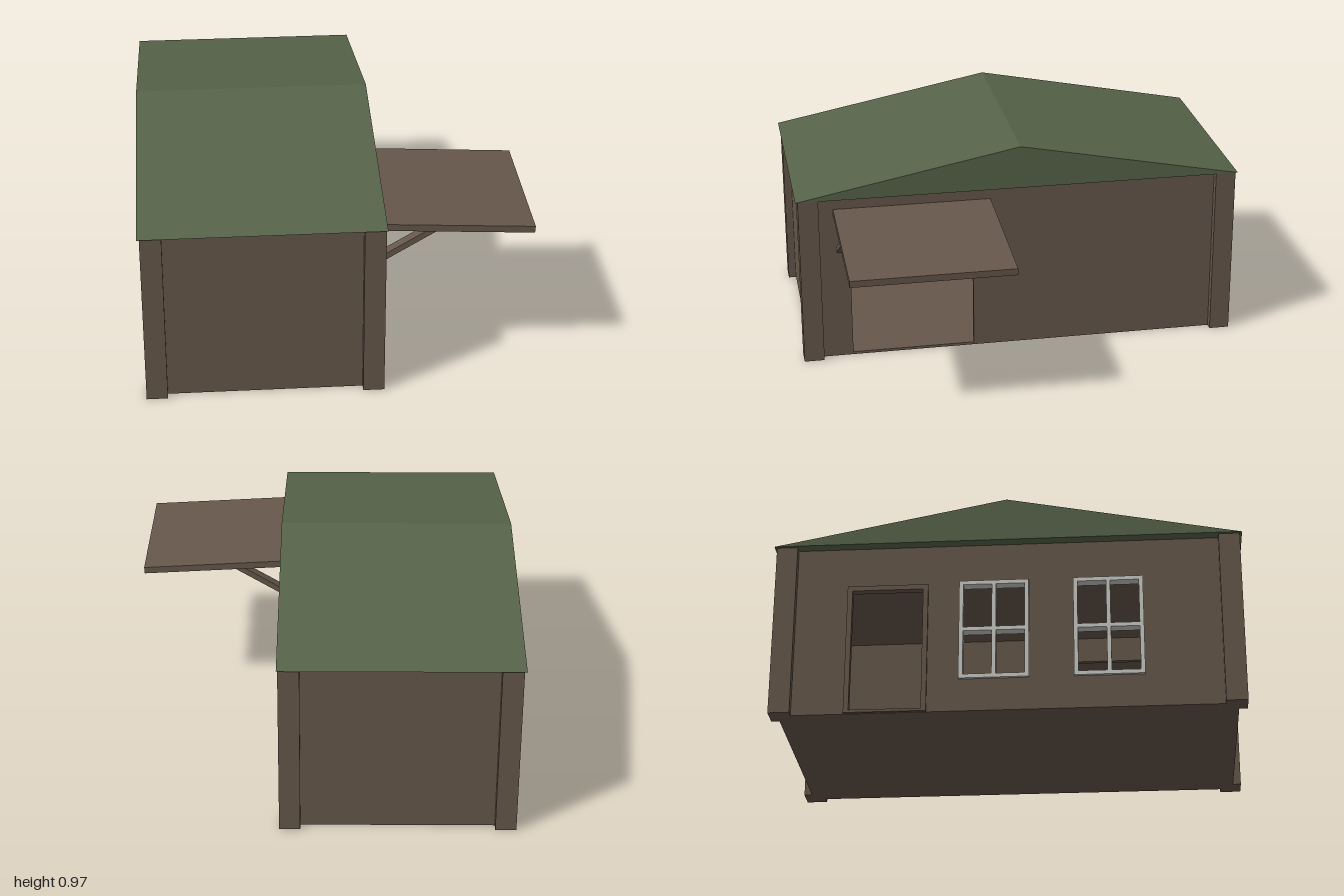
import * as THREE from 'three';

export function createModel() {
  const model = new THREE.Group();
  model.name = 'cabin';
  const material = (name, color) => {
    const m = new THREE.MeshStandardMaterial({ color });
    m.name = name;
    return m;
  };
  const wood = material('brown wood', 0x66574a);
  const green = material('green roofing', 0x566349);
  const white = material('pale window paint', 0xc8c8c4);

  const add = (name, geometry, mat, parent = model) => {
    const mesh = new THREE.Mesh(geometry, mat);
    mesh.name = name;
    parent.add(mesh);
    return mesh;
  };
  // Box given by its minimum and maximum corners
  const box = (name, mat, [x0, y0, z0], [x1, y1, z1], parent) => {
    const mesh = add(name, new THREE.BoxGeometry(x1 - x0, y1 - y0, z1 - z0), mat, parent);
    mesh.position.set((x0 + x1) / 2, (y0 + y1) / 2, (z0 + z1) / 2);
    return mesh;
  };
  const rect = (Kind, [z0, z1, y0, y1]) => {
    const r = new Kind();
    r.moveTo(z0, y0).lineTo(z1, y0).lineTo(z1, y1).lineTo(z0, y1).closePath();
    return r;
  };
  // Upright panel in the z-y plane, with holes; x is its +x face
  const panel = (name, mat, x, depth, outline, holes, parent) => {
    const shape = rect(THREE.Shape, outline);
    shape.holes = holes.map((h) => rect(THREE.Path, h));
    const g = new THREE.ExtrudeGeometry(shape, { depth, bevelEnabled: false });
    g.rotateY(-Math.PI / 2);
    const mesh = add(name, g, mat, parent);
    mesh.position.x = x;
    return mesh;
  };

  const L = -0.825, R = 0.185, Z = 0.99, H = 0.775;
  const inset = 0.035, t = 0.02, post = 0.09;
  const wl = L + inset, wr = R - inset, wz = Z - inset;

  // Floor and ceiling
  box('floor', wood, [wl, 0, -wz], [wr, 0.012, wz]);
  box('ceiling', wood, [wl + t, H - 0.006, -wz + t], [wr - t, H, wz - t]);

  // Corner posts, standing proud of the walls
  for (const x of [L, R - post])
    for (const z of [-Z, Z - post])
      box('cornerPost', wood, [x, 0, z], [x + post, H, z + post]);

  // End walls
  box('frontWall', wood, [wl, 0, wz - t], [wr, H, wz]);
  box('backWall', wood, [wl, 0, -wz], [wr, H, -wz + t]);

  // Side walls with their openings
  const windows = [[-0.203, 0.092, 0.145, 0.6], [0.28, 0.575, 0.145, 0.6]];
  const door = [-0.68, -0.335, 0.002, 0.59];
  const wallOutline = [-wz + t, wz - t, 0, H];
  panel('leftWall', wood, wr, t, wallOutline, [[0.21, 0.765, 0.012, 0.65]]);
  const shrink = ([a, b, c, d], s, bottom = s) => [a + s, b - s, c + bottom, d - s];
  const doorway = shrink(door, 0.022, 0.012);
  panel('rightWall', wood, wl + t, t, wallOutline, [doorway, ...windows.map((w) => shrink(w, 0.016))]);
  panel('doorFrame', wood, wl, 0.012, door, [doorway]);

  // Four-pane windows
  for (const w of windows) {
    const frame = new THREE.Group();
    frame.name = 'window';
    model.add(frame);
    const [z0, z1, y0, y1] = shrink(w, 0.018);
    const zm = (z0 + z1) / 2, ym = (y0 + y1) / 2, b = 0.009;
    panel('windowFrame', white, wl + t + 0.012, t + 0.024, w, [
      [z0, zm - b, y0, ym - b], [zm + b, z1, y0, ym - b],
      [z0, zm - b, ym + b, y1], [zm + b, z1, ym + b, y1],
    ], frame);
  }

  // Low gabled roof, ridge running from side to side
  const gable = new THREE.Shape();
  gable.moveTo(-1, 0.777).lineTo(1, 0.777).lineTo(0, 0.972).closePath();
  const roof = new THREE.ExtrudeGeometry(gable, { depth: 1.025, bevelEnabled: false });
  roof.rotateY(-Math.PI / 2);
  add('roof', roof, green).position.x = 0.19;

  // Awning over the wide opening, on two slanted struts
  const beam = (name, [x0, y0], [x1, y1], thick, width, z) => {
    const mesh = add(name, new THREE.BoxGeometry(Math.hypot(x1 - x0, y1 - y0), thick, width), wood);
    mesh.position.set((x0 + x1) / 2, (y0 + y1) / 2, z);
    mesh.rotation.z = Math.atan2(y1 - y0, x1 - x0);
  };
  beam('awning', [0.145, 0.704], [0.829, 0.666], 0.03, 0.704, 0.482);
  for (const z of [0.172, 0.798])
    beam('awningStrut', [0.145, 0.522], [0.41, 0.682], 0.025, 0.05, z);

  return model;
}
